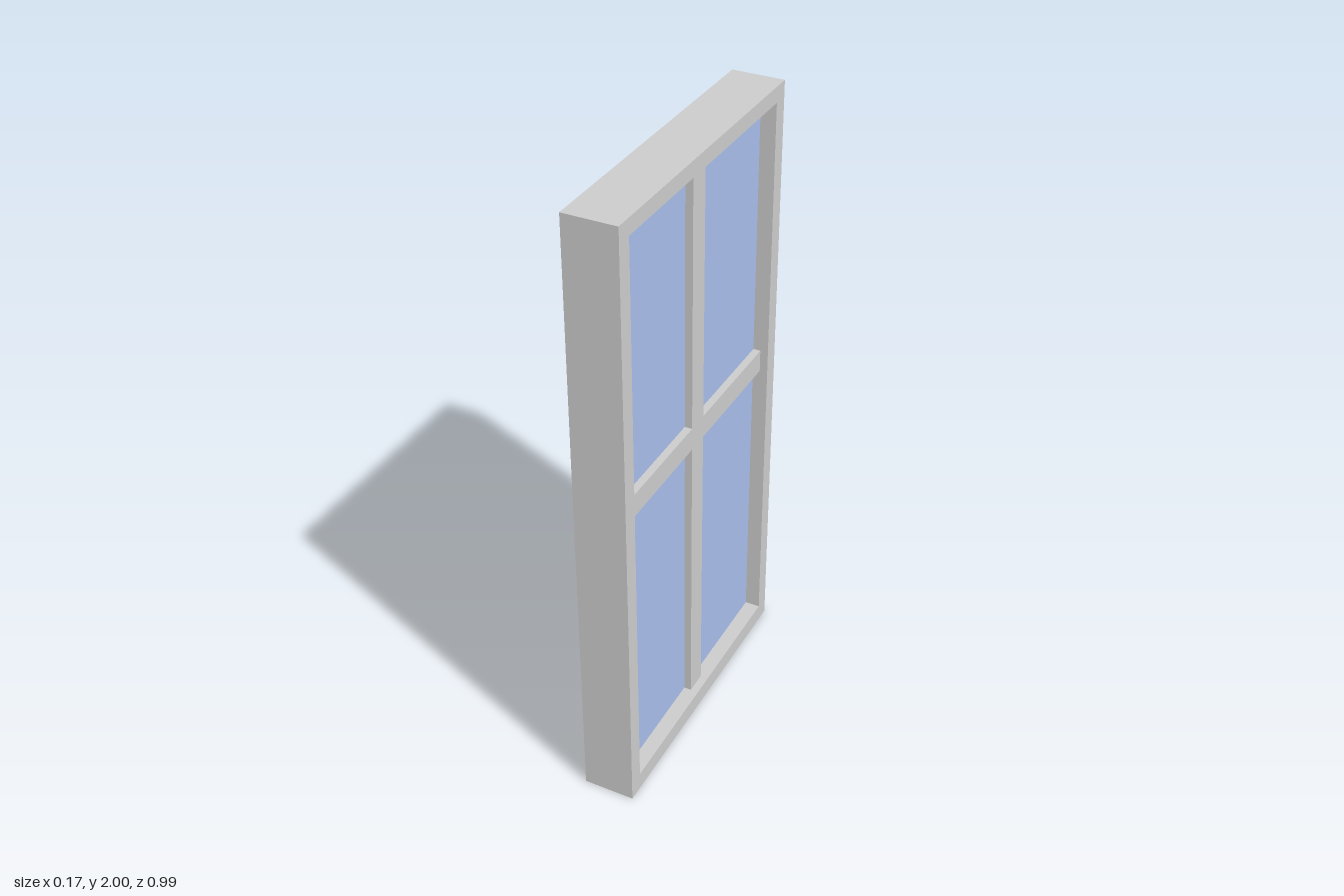
import * as THREE from 'three';

export function createModel() {
  const group = new THREE.Group();
  const grey = new THREE.MeshStandardMaterial({ color: 0xcccccc, flatShading: true });
  const blue = new THREE.MeshStandardMaterial({ color: 0xa8bdea, flatShading: true });

  const HALF = 0.497, INNER = 0.445, BOTTOM = 0.06, TOP = 1.95;
  const BAR = 0.037, RAIL_LOW = 1.035, RAIL_HIGH = 1.11;

  // Outline rectangle in the (z, y) plane
  const rect = (path, a, b, y0, y1) => {
    path.moveTo(a, y0);
    path.lineTo(b, y0);
    path.lineTo(b, y1);
    path.lineTo(a, y1);
    path.closePath();
    return path;
  };

  // Extrudes an outline symmetrically through the thickness (x)
  const addPanel = (name, shape, depth, material) => {
    const geometry = new THREE.ExtrudeGeometry(shape, { depth, bevelEnabled: false });
    geometry.translate(0, 0, -depth / 2);
    geometry.rotateY(-Math.PI / 2);
    const mesh = new THREE.Mesh(geometry, material);
    mesh.name = name;
    group.add(mesh);
  };

  // Outer frame with one large opening
  const frame = rect(new THREE.Shape(), -HALF, HALF, 0, 2);
  frame.holes.push(rect(new THREE.Path(), -INNER, INNER, BOTTOM, TOP));
  addPanel('frame', frame, 0.166, grey);

  // Crossed glazing bars, recessed from the frame faces
  const cross = new THREE.Shape([
    [-BAR, BOTTOM], [BAR, BOTTOM], [BAR, RAIL_LOW], [INNER, RAIL_LOW],
    [INNER, RAIL_HIGH], [BAR, RAIL_HIGH], [BAR, TOP], [-BAR, TOP],
    [-BAR, RAIL_HIGH], [-INNER, RAIL_HIGH], [-INNER, RAIL_LOW], [-BAR, RAIL_LOW],
  ].map(([z, y]) => new THREE.Vector2(z, y)));
  addPanel('glazingBars', cross, 0.114, grey);

  // Four glass panes between the bars
  for (const side of [-1, 1]) {
    for (const [row, y0, y1] of [['lower', BOTTOM, RAIL_LOW], ['upper', RAIL_HIGH, TOP]]) {
      const a = side < 0 ? -INNER : BAR;
      const b = side < 0 ? -BAR : INNER;
      addPanel(`${row}${side < 0 ? 'Back' : 'Front'}Pane`, rect(new THREE.Shape(), a, b, y0, y1), 0.066, blue);
    }
  }
  return group;
}
